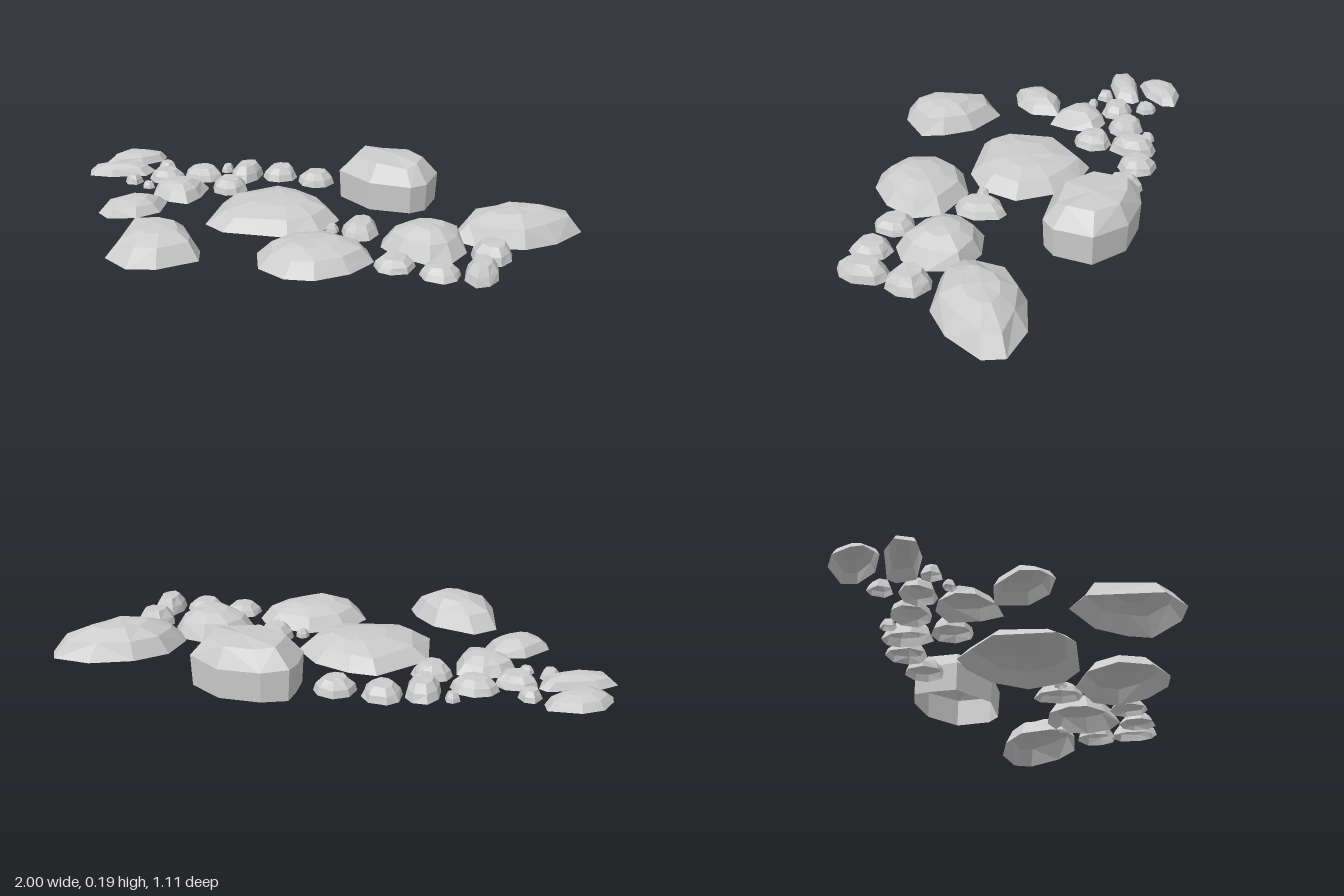
import * as THREE from 'three';

// seeded random so every stone keeps its shape
let seed = 7;
const rand = () => (seed = (seed * 16807) % 2147483647) / 2147483647;
const jitter = (a) => 1 + (rand() * 2 - 1) * a;

const material = new THREE.MeshStandardMaterial({
  color: 0xcccccc, flatShading: true, side: THREE.DoubleSide,
});

// profiles: rings of [scale, height share] from the ground to the crown
const DOME = [[1, 0], [0.77, 0.62], [0.4, 0.94]];
const BOULDER = [[0.97, 0], [1, 0.58], [0.7, 0.92]];
const PEBBLE = [[1, 0], [0.86, 0.5], [0.56, 0.97]];

// stone shell, open below: outline [x, z, ...] clockwise from above
function stone(name, outline, y0, height, peak, profile = DOME) {
  const n = outline.length / 2;
  let cx = 0, cz = 0;
  for (let i = 0; i < n; i++) {
    cx += outline[2 * i] / n;
    cz += outline[2 * i + 1] / n;
  }
  const [px, pz] = peak || [cx, cz];
  const pos = [], index = [];
  profile.forEach(([s, h], r) => {
    for (let i = 0; i < n; i++) {
      const k = s * (r && s < 1 ? jitter(0.07) : 1);
      pos.push(
        px + (outline[2 * i] - px) * k,
        y0 + height * h * (r ? jitter(0.05) : 1),
        pz + (outline[2 * i + 1] - pz) * k,
      );
    }
  });
  pos.push(px, y0 + height, pz);
  const top = profile.length * n;
  for (let r = 0; r < profile.length; r++) {
    for (let i = 0; i < n; i++) {
      const a = r * n + i, b = r * n + (i + 1) % n;
      if (r === profile.length - 1) index.push(a, top, b);
      else if (i % 2) index.push(a, a + n, b, b, a + n, b + n);
      else index.push(a, a + n, b + n, a, b + n, b);
    }
  }
  const geo = new THREE.BufferGeometry();
  geo.setAttribute('position', new THREE.Float32BufferAttribute(pos, 3));
  geo.setIndex(index);
  geo.computeVertexNormals();
  const mesh = new THREE.Mesh(geo, material);
  mesh.name = name;
  return mesh;
}

// small stone on an uneven ellipse
function pebble(name, x, z, rx, rz, height) {
  const n = rx < 0.05 ? 6 : 8, outline = [], turn = rand();
  for (let i = 0; i < n; i++) {
    const t = ((i + turn + rand() * 0.3) / n) * Math.PI * 2;
    outline.push(x + Math.cos(t) * rx * jitter(0.04), z + Math.sin(t) * rz * jitter(0.04));
  }
  return stone(name, outline, 0.015, height, null, PEBBLE);
}

export function createModel() {
  const group = new THREE.Group();
  group.name = 'stones';

  // large stones
  group.add(
    stone('rearBoulder', [0.05, -0.45, 0.06, -0.53, 0.15, -0.56, 0.3, -0.55, 0.42, -0.46,
      0.41, -0.32, 0.36, -0.27, 0.2, -0.26, 0.05, -0.36], 0, 0.185, [0.25, -0.42], BOULDER),
    stone('centreStone', [-0.35, -0.12, -0.19, -0.29, -0.09, -0.28, 0.04, -0.22, 0.13, -0.1,
      0.1, 0.04, 0, 0.12, -0.24, 0.15, -0.33, 0.1], 0.01, 0.077, [-0.08, -0.08]),
    stone('frontStone', [-0.06, 0.27, 0, 0.15, 0.13, 0.08, 0.3, 0.12, 0.35, 0.21,
      0.3, 0.33, 0.2, 0.42, 0.1, 0.44, -0.01, 0.39], 0.005, 0.08, [0.15, 0.25]),
    stone('frontRightStone', [-0.57, 0.24, -0.49, 0.17, -0.33, 0.23, -0.25, 0.33, -0.22, 0.41,
      -0.33, 0.52, -0.43, 0.55, -0.54, 0.49], 0.01, 0.098, [-0.38, 0.36]),
    stone('leftStone', [0.56, -0.1, 0.58, -0.23, 0.68, -0.32, 0.83, -0.37, 0.97, -0.35,
      1, -0.28, 0.93, -0.14, 0.83, -0.05, 0.66, -0.02, 0.57, -0.05], 0.01, 0.1, [0.77, -0.2]),
    stone('innerLeftStone', [0.33, 0.02, 0.38, -0.07, 0.49, -0.1, 0.6, -0.07, 0.64, 0.04,
      0.61, 0.14, 0.54, 0.19, 0.41, 0.15, 0.34, 0.09], 0.01, 0.095, [0.5, 0.03]),
  );

  // medium stones on the right
  group.add(
    stone('rightStone', [-0.77, 0.07, -0.69, -0.03, -0.56, -0.06, -0.54, 0.05, -0.6, 0.13,
      -0.7, 0.17, -0.76, 0.13], 0.01, 0.055, [-0.64, 0.05]),
    stone('innerRightStone', [-0.66, -0.16, -0.62, -0.23, -0.55, -0.26, -0.46, -0.24, -0.45, -0.13,
      -0.47, -0.05, -0.55, -0.05, -0.64, -0.1], 0.015, 0.06, [-0.55, -0.15]),
    stone('farRightRearStone', [-0.98, -0.39, -0.95, -0.46, -0.88, -0.5, -0.77, -0.5, -0.76, -0.45,
      -0.82, -0.37, -0.92, -0.32, -0.98, -0.35], 0.025, 0.045, [-0.87, -0.42]),
    stone('farRightStone', [-1, -0.25, -0.94, -0.3, -0.77, -0.35, -0.74, -0.33, -0.75, -0.26,
      -0.88, -0.2, -0.97, -0.19], 0.025, 0.045, [-0.86, -0.27]),
  );

  // pebbles: x, z, half width, half depth, height
  [
    [-0.465, -0.45, 0.028, 0.03, 0.03], [-0.715, -0.39, 0.042, 0.043, 0.035],
    [-0.665, -0.28, 0.075, 0.064, 0.045], [-0.53, -0.35, 0.082, 0.07, 0.05],
    [-0.365, -0.415, 0.06, 0.097, 0.06], [-0.375, -0.255, 0.072, 0.075, 0.05],
    [-0.235, -0.46, 0.072, 0.075, 0.05], [-0.075, -0.445, 0.075, 0.073, 0.05],
    [-0.775, -0.205, 0.037, 0.037, 0.035], [-0.695, -0.17, 0.028, 0.023, 0.025],
    [0.14, 0.022, 0.026, 0.026, 0.03], [0.24, -0.005, 0.07, 0.095, 0.05],
    [0.73, 0.06, 0.075, 0.08, 0.06], [0.43, 0.24, 0.073, 0.077, 0.04],
    [0.59, 0.255, 0.07, 0.075, 0.04], [0.725, 0.22, 0.06, 0.097, 0.06],
  ].forEach((p, i) => group.add(pebble(`pebble${i + 1}`, ...p)));

  return group;
}
